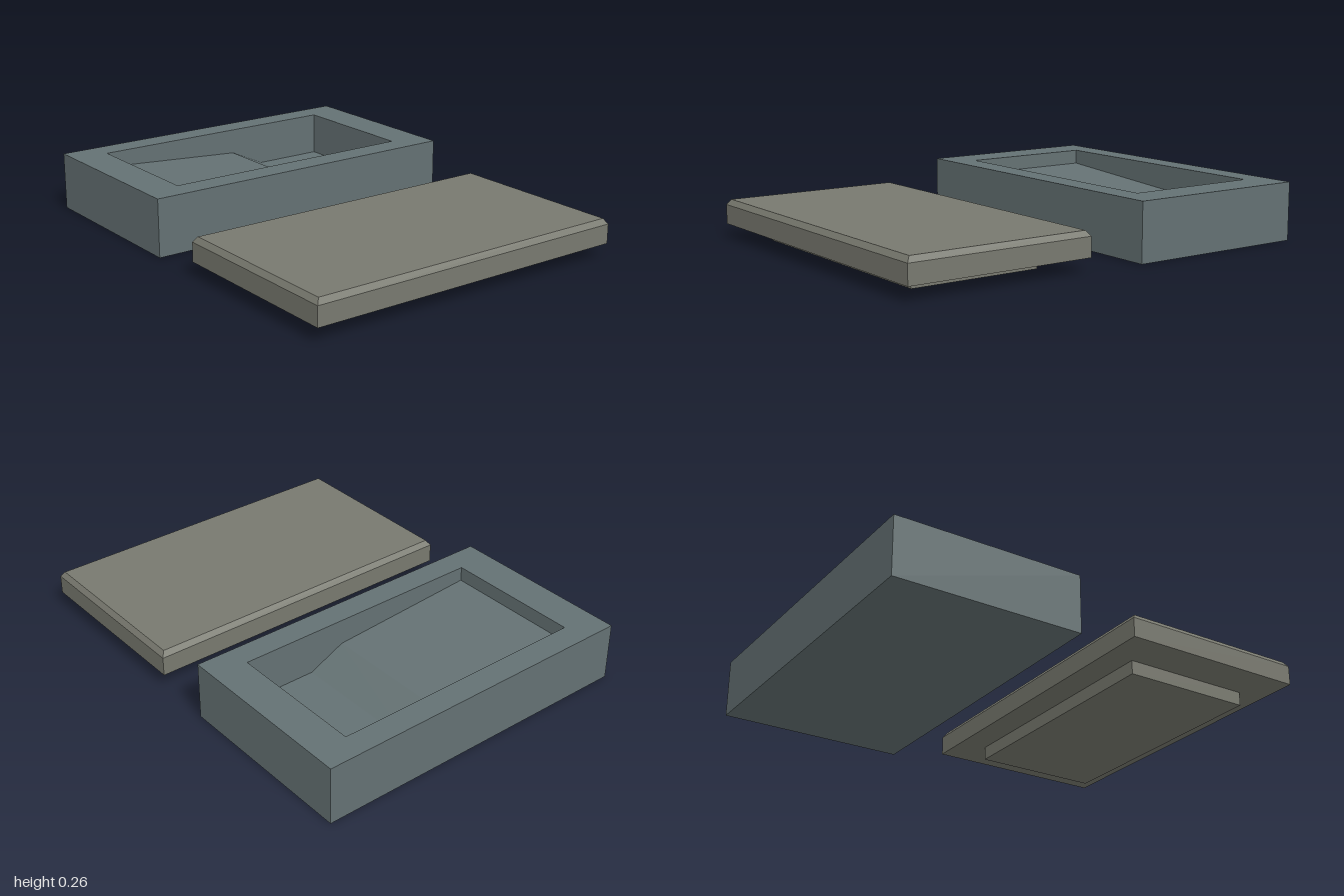
import * as THREE from 'three';

// Flat-faced mesh from a list of four-cornered panels
function panelMesh(name, panels, color) {
  const positions = [];
  for (const [a, b, c, d] of panels) positions.push(...a, ...b, ...c, ...a, ...c, ...d);
  const geometry = new THREE.BufferGeometry();
  geometry.setAttribute('position', new THREE.Float32BufferAttribute(positions, 3));
  geometry.computeVertexNormals();
  const mesh = new THREE.Mesh(geometry, new THREE.MeshStandardMaterial({ color, flatShading: true }));
  mesh.name = name;
  return mesh;
}

// Horizontal rectangle, counter-clockwise seen from above
function ring(cx, halfX, halfZ, y) {
  return [[1, 1], [1, -1], [-1, -1], [-1, 1]].map(([sx, sz]) => [cx + sx * halfX, y, sz * halfZ]);
}

// Panels joining each ring to the next one
function loft(rings) {
  const panels = [];
  for (let r = 0; r < rings.length - 1; r++) {
    for (let i = 0; i < 4; i++) {
      const j = (i + 1) % 4;
      panels.push([rings[r][i], rings[r][j], rings[r + 1][j], rings[r + 1][i]]);
    }
  }
  return panels;
}

function createTray() {
  const top = 0.265, x0 = -0.885, x1 = -0.25, z = 0.603;
  const base = ring(-0.5675, 0.4325, 0.77, 0);
  const opening = ring((x0 + x1) / 2, (x1 - x0) / 2, z, top);

  // Outer walls, rim and underside
  const panels = loft([base, ring(-0.5675, 0.4325, 0.77, top), opening]);
  panels.push([...base].reverse());

  // Pocket floor from back to front: deep well, ramp, gentle slope; as [z, y]
  const floor = [[-z, 0.067], [-0.267, 0.067], [-0.1, 0.147], [z, 0.198]];
  for (let i = 0; i < floor.length - 1; i++) {
    const [za, ya] = floor[i], [zb, yb] = floor[i + 1];
    const wall = (x) => [[x, yb, zb], [x, ya, za], [x, top, za], [x, top, zb]];
    panels.push([[x1, yb, zb], [x1, ya, za], [x0, ya, za], [x0, yb, zb]]);
    panels.push(wall(x0), wall(x1).reverse());
  }

  // Pocket end walls
  const endWall = ([ez, y]) => [[x0, y, ez], [x1, y, ez], [x1, top, ez], [x0, top, ez]];
  panels.push(endWall(floor[0]), endWall(floor[floor.length - 1]).reverse());
  return panelMesh('tray', panels, 0x647173);
}

function createLid() {
  const cx = 0.5675;
  // Plug underneath, flat slab, bevelled top edge
  const rings = [
    ring(cx, 0.302, 0.583, 0),
    ring(cx, 0.302, 0.583, 0.062),
    ring(cx, 0.4325, 0.77, 0.062),
    ring(cx, 0.4325, 0.77, 0.15),
    ring(cx, 0.415, 0.753, 0.174),
  ];
  const panels = loft(rings);
  panels.push(rings[4], [...rings[0]].reverse());
  return panelMesh('lid', panels, 0x78796f);
}

export function createModel() {
  const model = new THREE.Group();
  model.name = 'trayWithLid';
  model.add(createTray(), createLid());
  return model;
}
